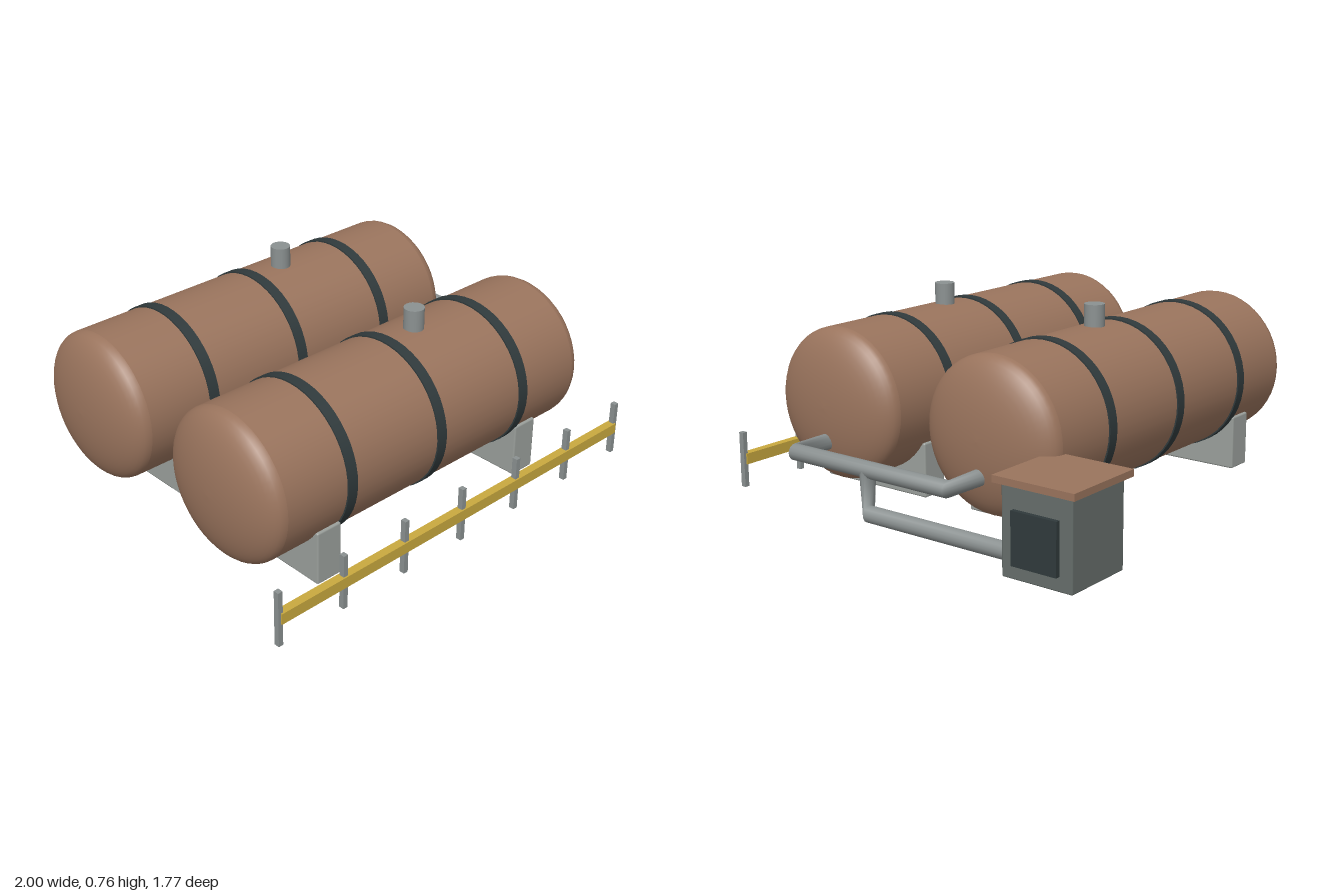
import * as THREE from 'three';
import { RoundedBoxGeometry } from 'three/addons/geometries/RoundedBoxGeometry.js';

const material = (name, color) => {
  const m = new THREE.MeshStandardMaterial({ color });
  m.name = name;
  return m;
};

// Pipe through straight stretches: each ring is a circle facing its own direction,
// and all the bends lie in the plane square to `binormal`.
function pipeGeometry(stations, binormal, radius, sides = 16) {
  const positions = [], index = [];
  for (const [center, direction] of stations) {
    const d = new THREE.Vector3(...direction);
    const side = d.clone().cross(binormal);
    for (let j = 0; j < sides; j++) {
      const a = (j / sides) * Math.PI * 2;
      const p = new THREE.Vector3(...center)
        .addScaledVector(binormal, Math.cos(a) * radius)
        .addScaledVector(side, Math.sin(a) * radius);
      positions.push(p.x, p.y, p.z);
    }
  }
  for (let i = 0; i < stations.length - 1; i++) {
    for (let j = 0; j < sides; j++) {
      const a = i * sides + j, b = i * sides + ((j + 1) % sides);
      index.push(a, b, a + sides, b, b + sides, a + sides);
    }
  }
  const g = new THREE.BufferGeometry();
  g.setAttribute('position', new THREE.Float32BufferAttribute(positions, 3));
  g.setIndex(index);
  g.computeVertexNormals();
  return g;
}

export function createModel() {
  const brown = material('tank brown', 0x9a745d);
  const dark = material('dark steel', 0x303a3c);
  const concrete = material('concrete', 0x9ba09c);
  const steel = material('pipe steel', 0x8b9191);
  const grey = material('cabinet grey', 0x666e6b);
  const yellow = material('rail yellow', 0xc9a93f);

  const root = new THREE.Group();
  root.name = 'storageTanks';
  const add = (parent, name, geometry, mat, x = 0, y = 0, z = 0) => {
    const mesh = new THREE.Mesh(geometry, mat);
    mesh.name = name;
    mesh.position.set(x, y, z);
    parent.add(mesh);
    return mesh;
  };

  // Shared tank pieces, with the tank lying along x
  const R = 0.3, half = 0.755, dome = 0.11;
  const profile = [];
  for (let i = 0; i <= 12; i++) {
    const a = (i / 12) * Math.PI / 2;
    profile.push(new THREE.Vector2(R * Math.cos(a), dome * Math.sin(a)));
  }
  const shell = new THREE.CylinderGeometry(R, R, half * 2, 48, 1, true).rotateZ(-Math.PI / 2);
  const cap = new THREE.LatheGeometry(profile, 48).rotateZ(-Math.PI / 2);
  const band = new THREE.CylinderGeometry(0.306, 0.306, 0.045, 48).rotateZ(-Math.PI / 2);
  const vent = new THREE.CylinderGeometry(0.04, 0.04, 0.11, 20);
  const saddle = new RoundedBoxGeometry(0.115, 0.222, 0.53, 1, 0.008);

  const tankX = -0.085, tankZ = [0.455, -0.3];
  for (const z of tankZ) {
    const tank = new THREE.Group();
    tank.name = z > 0 ? 'frontTank' : 'backTank';
    tank.position.set(tankX, 0.38, z);
    root.add(tank);
    add(tank, 'shell', shell, brown);
    add(tank, 'leftCap', cap, brown, half);
    add(tank, 'rightCap', cap, brown, -half).rotation.y = Math.PI;
    for (const x of [-0.455, 0, 0.455]) add(tank, 'band', band, dark, x);
    add(tank, 'vent', vent, steel, 0.15, 0.33);
    for (const x of [-0.53, 0.53]) add(tank, 'saddle', saddle, concrete, x, -0.269);
  }

  // Header pipe joining both tanks, and the feed running to the cabinet
  const px = 0.934, py = 0.245, feedY = 0.077, feedZ = 0.08;
  add(root, 'headerPipe', pipeGeometry([
    [[0.74, py, tankZ[0]], [1, 0, 0]],
    [[px, py, tankZ[0]], [0, 0, -1]],
    [[px, py, tankZ[1]], [0, 0, -1]],
    [[0.74, py, tankZ[1]], [-1, 0, 0]],
  ], new THREE.Vector3(0, 1, 0), 0.032), steel);
  add(root, 'feedPipe', pipeGeometry([
    [[px, py, feedZ], [0, -1, 0]],
    [[px, feedY, feedZ], [0, 0, -1]],
    [[px, feedY, -0.6], [0, 0, -1]],
  ], new THREE.Vector3(1, 0, 0), 0.032), steel);

  // Control cabinet with overhanging roof and side door
  const cabinet = new THREE.Group();
  cabinet.name = 'cabinet';
  cabinet.position.set(0.825, 0, -0.715);
  root.add(cabinet);
  add(cabinet, 'cabinetBody', new RoundedBoxGeometry(0.295, 0.335, 0.295, 1, 0.006), grey, 0, 0.1675);
  add(cabinet, 'cabinetRoof', new THREE.BoxGeometry(0.34, 0.026, 0.34), brown, 0, 0.347);
  add(cabinet, 'cabinetDoor', new THREE.BoxGeometry(0.03, 0.195, 0.19), dark, 0.15, 0.152);

  // Guard rail along the front
  const rail = new THREE.Group();
  rail.name = 'guardRail';
  rail.position.set(tankX, 0, 0.87);
  root.add(rail);
  add(rail, 'railBeam', new THREE.BoxGeometry(1.81, 0.044, 0.034), yellow, 0, 0.115);
  const post = new THREE.BoxGeometry(0.02, 0.225, 0.022);
  for (let i = -3; i <= 3; i++) add(rail, 'railPost', post, steel, i * 0.302, 0.1125);

  return root;
}
